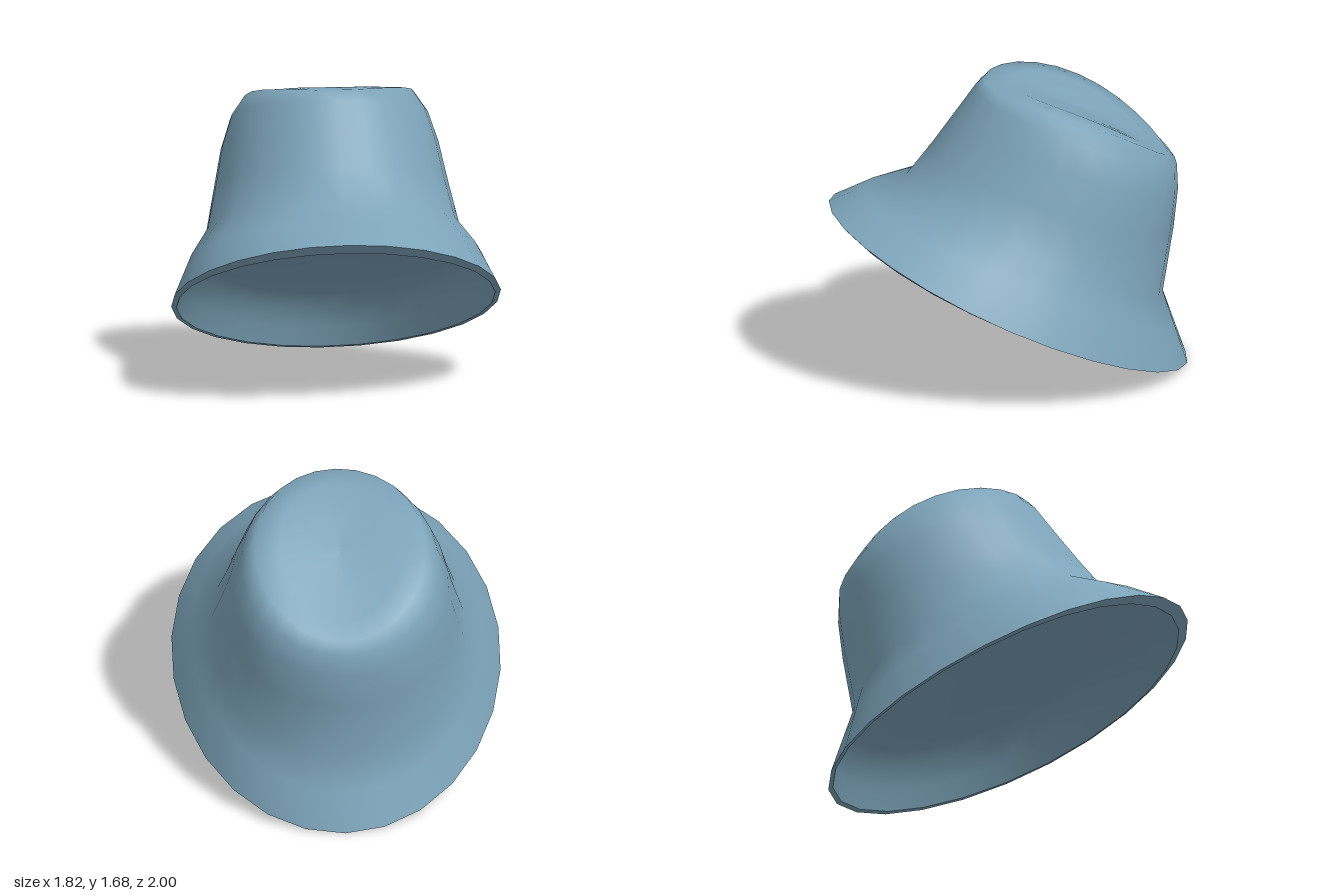
import * as THREE from 'three';

const SEGMENTS = 26;

// Each ring: front [z, y], back [z, y], half width, lift of the sides, forward shift of the sides
const OUTER = [
  [[1.0, 0.972], [-1.0, 0.0], 0.915, 0.0, 0.05],       // brim edge
  [[0.79, 1.05], [-0.925, 0.22], 0.81, 0.06, 0.0],     // middle of brim
  [[0.57, 1.11], [-0.857, 0.42], 0.705, 0.06, -0.05],  // brim meets crown
  [[0.42, 1.30], [-0.92, 0.80], 0.65, 0.01, -0.05],    // crown wall
  [[0.28, 1.49], [-0.945, 1.02], 0.605, 0.01, -0.05],
  [[0.18, 1.63], [-0.94, 1.16], 0.55, 0.03, -0.05],    // rounded top edge
  [[0.13, 1.68], [-0.89, 1.22], 0.475, 0.085, -0.05],
  [[0.0, 1.67], [-0.78, 1.28], 0.34, 0.06, -0.03],     // shallow saddle of the top
  [[-0.2, 1.59], [-0.6, 1.39], 0.17, 0.02, 0],
  [[-0.4, 1.495], [-0.4, 1.495], 0, 0, 0],
];

// Underside: brim lining rolling into a flat cap, as [radius, height above the tilted opening]
const TILT = 0.435;
const UNDERSIDE = [[1, 0], [0.93, 0.09], [0.85, 0.18], [0.75, 0.235], [0.5, 0.26], [0, 0.27]].map(([r, h]) => {
  const z = -0.012 - h * Math.sin(TILT);
  const y = 0.464 + h * Math.cos(TILT);
  return [[z + 0.962 * r, y + 0.452 * r], [z - 0.962 * r, y - 0.452 * r], 0.885 * r, 0.01 * r, 0.05 * r];
});

// Smooth skin through a stack of closed rings
function skin(rings, flip = false) {
  const positions = [];
  const index = [];
  for (const [f, b, w, lift, shift] of rings) {
    for (let j = 0; j < SEGMENTS; j++) {
      const t = (j / SEGMENTS) * Math.PI * 2;
      const s = Math.sin(t), c = Math.cos(t);
      positions.push(
        w * s,
        (f[1] + b[1]) / 2 + ((f[1] - b[1]) / 2) * c + lift * s * s,
        (f[0] + b[0]) / 2 + ((f[0] - b[0]) / 2) * c + shift * s * s
      );
    }
  }
  for (let i = 0; i < rings.length - 1; i++) {
    for (let j = 0; j < SEGMENTS; j++) {
      const k = (j + 1) % SEGMENTS;
      const a = i * SEGMENTS + j, b = i * SEGMENTS + k;
      const c = a + SEGMENTS, d = b + SEGMENTS;
      if (flip) index.push(a, c, b, b, c, d);
      else index.push(a, b, c, b, d, c);
    }
  }
  const geometry = new THREE.BufferGeometry();
  geometry.setAttribute('position', new THREE.Float32BufferAttribute(positions, 3));
  geometry.setIndex(index);
  geometry.computeVertexNormals();
  return geometry;
}

export function createModel() {
  const hat = new THREE.Group();
  hat.name = 'bucketHat';
  const fabric = new THREE.MeshStandardMaterial({ color: 0x7da4ba });
  fabric.name = 'blue fabric';

  const add = (name, geometry) => {
    const mesh = new THREE.Mesh(geometry, fabric);
    mesh.name = name;
    hat.add(mesh);
  };

  add('outerHat', skin(OUTER));
  add('underside', skin(UNDERSIDE, true));
  add('brimEdge', skin([UNDERSIDE[0], OUTER[0]]));

  return hat;
}
